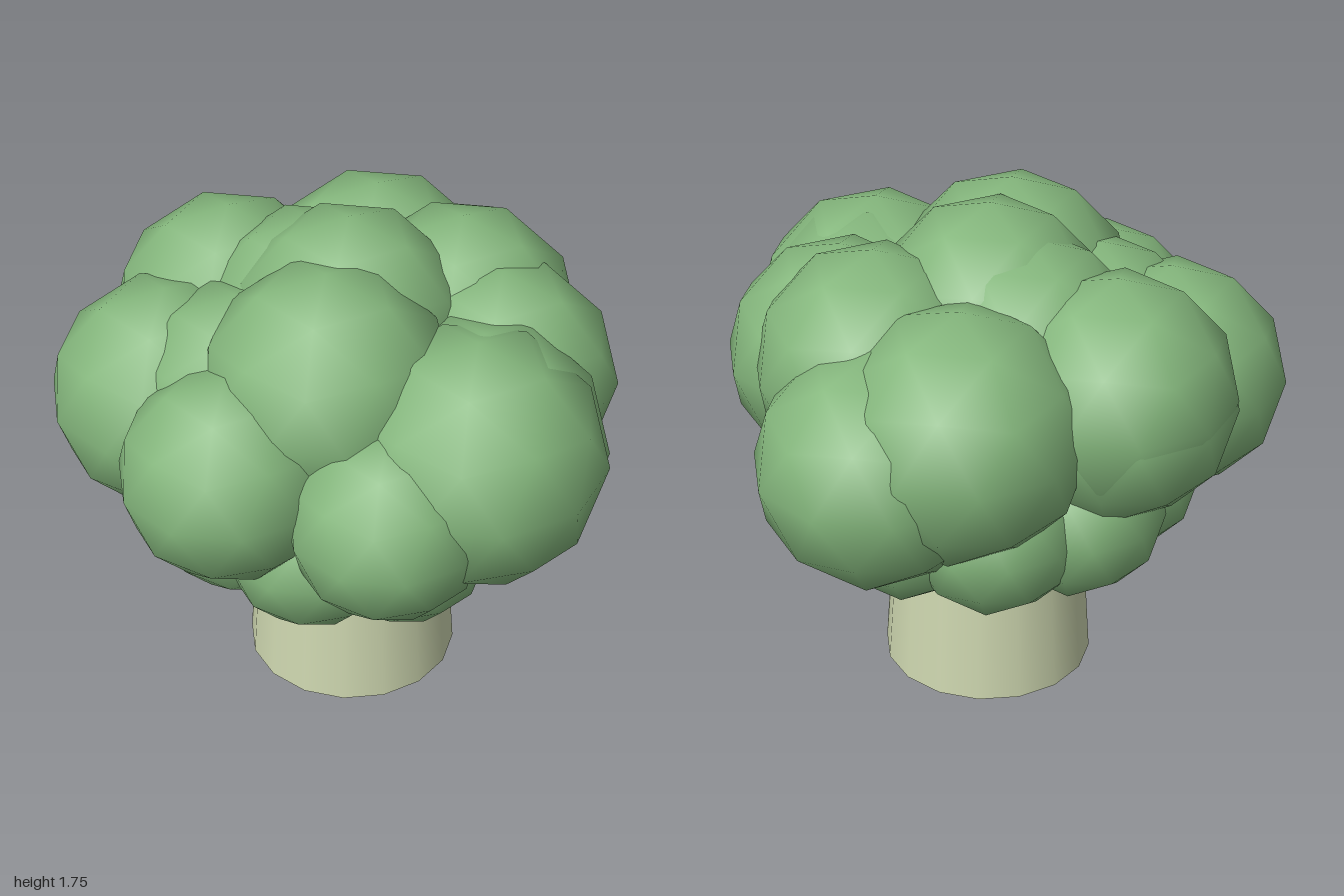
import * as THREE from 'three';

const green = new THREE.MeshStandardMaterial({ color: 0x84b67c });
const pale = new THREE.MeshStandardMaterial({ color: 0xcdd6af });

// Low-poly ball with smooth normals and a vertex at its top and bottom
const ball = new THREE.IcosahedronGeometry(1, 1);
ball.rotateZ(-Math.atan(2 / (1 + Math.sqrt(5))));

function floret(name, x, y, z, r) {
  const mesh = new THREE.Mesh(ball, green);
  mesh.name = name;
  mesh.position.set(x, y, z);
  mesh.scale.setScalar(r);
  return mesh;
}

export function createModel() {
  const model = new THREE.Group();
  model.name = 'broccoli';
  const cx = -0.027, cz = 0.035;

  // Tapered stalk, running up inside the head
  const stalk = new THREE.Mesh(new THREE.CylinderGeometry(0.31, 0.37, 0.9, 16), pale);
  stalk.name = 'stalk';
  stalk.position.set(cx, 0.45, cz);
  model.add(stalk);

  // Ring of small florets under the head
  const lower = new THREE.Group();
  lower.name = 'lowerFlorets';
  for (let i = 0; i < 9; i++) {
    const a = (i / 9) * Math.PI * 2;
    lower.add(floret('lowerFloret', cx + 0.435 * Math.cos(a), 0.77, cz + 0.435 * Math.sin(a), 0.305));
  }
  model.add(lower);

  // Large florets around the side of the head: x, y, z, radius
  const sides = new THREE.Group();
  sides.name = 'sideFlorets';
  [
    [-0.165, 1.08, 0.625, 0.365],
    [0.365, 1.01, 0.545, 0.33],
    [0.53, 1.13, 0.25, 0.435],
    [0.51, 1.12, 0.16, 0.42],
    [0.43, 1.17, -0.16, 0.4],
    [0.05, 1.05, -0.59, 0.41],
    [-0.18, 1.16, -0.46, 0.43],
    [-0.54, 1.21, -0.06, 0.405],
    [-0.54, 1.17, -0.05, 0.405],
    [-0.56, 1.095, 0.335, 0.405],
  ].forEach((f) => sides.add(floret('sideFloret', ...f)));
  model.add(sides);

  // Florets of the crown
  const crown = new THREE.Group();
  crown.name = 'crownFlorets';
  [
    [0.03, 1.29, 0.315, 0.42],
    [-0.04, 1.345, 0.02, 0.4],
    [0.22, 1.24, -0.3, 0.41],
    [-0.2, 1.27, -0.03, 0.4],
    [-0.3, 1.17, 0.32, 0.37],
  ].forEach((f) => crown.add(floret('crownFloret', ...f)));
  model.add(crown);

  return model;
}
